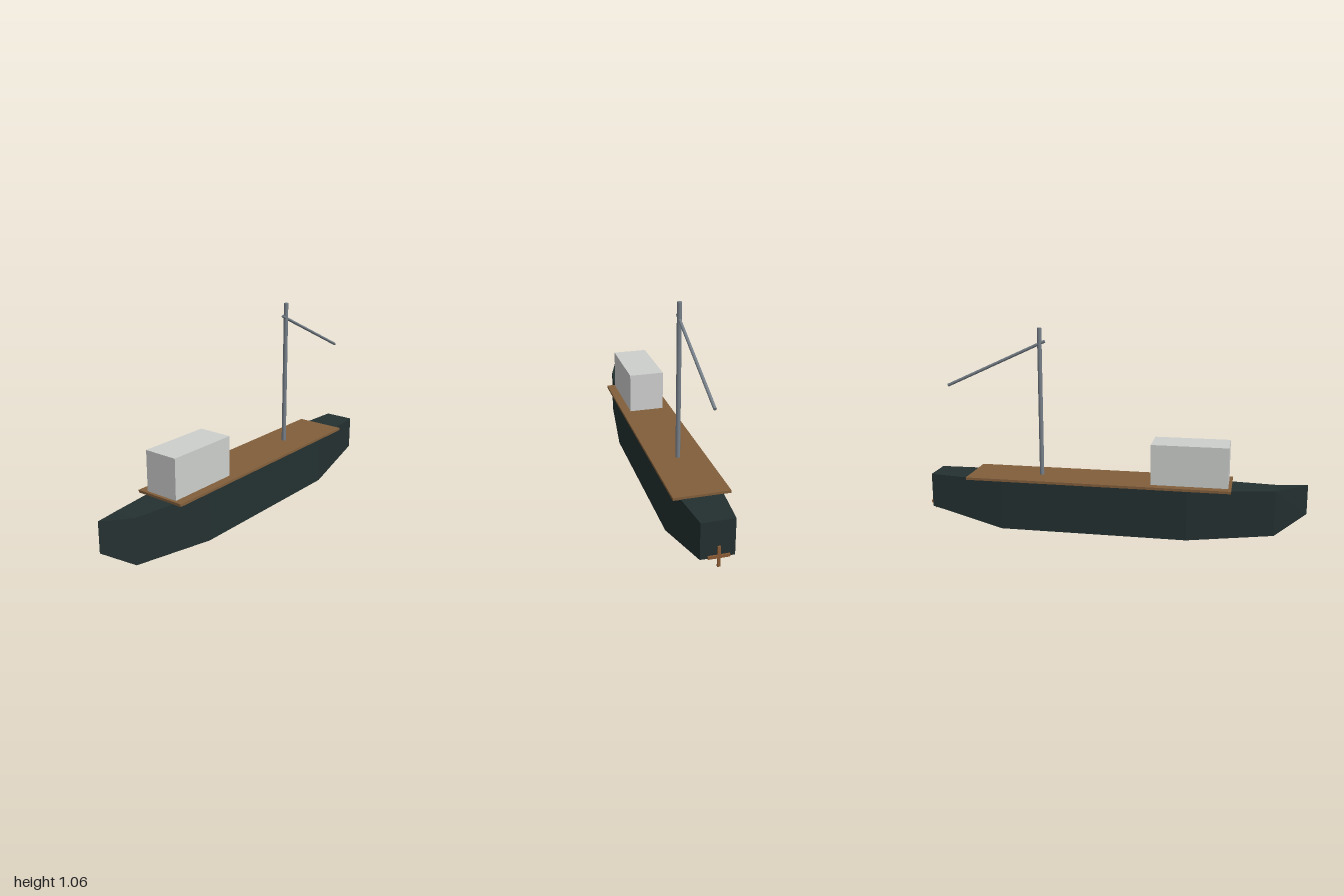
import * as THREE from 'three';

const paint = (name, color) => {
  const m = new THREE.MeshStandardMaterial({ color });
  m.name = name;
  return m;
};

// Lofts rectangular cross-sections [z, halfWidth, bottom, top], listed stern to bow
function loftHull(sections) {
  const pos = [];
  const rings = sections.map(([z, w, b, t]) => [[w, b, z], [w, t, z], [-w, t, z], [-w, b, z]]);
  const quad = (a, b, c, d) => pos.push(...a, ...b, ...c, ...a, ...c, ...d);
  for (let i = 0; i < rings.length - 1; i++) {
    const p = rings[i], q = rings[i + 1];
    for (let k = 0; k < 4; k++) {
      const n = (k + 1) % 4;
      quad(p[k], p[n], q[n], q[k]);
    }
  }
  const s = rings[0];
  quad(s[3], s[2], s[1], s[0]); // transom
  const geo = new THREE.BufferGeometry();
  geo.setAttribute('position', new THREE.Float32BufferAttribute(pos, 3));
  geo.computeVertexNormals();
  return geo;
}

// Round spar between two points
function spar(a, b, radius) {
  const dir = b.clone().sub(a);
  const geo = new THREE.CylinderGeometry(radius, radius, dir.length(), 8);
  geo.applyQuaternion(new THREE.Quaternion().setFromUnitVectors(
    new THREE.Vector3(0, 1, 0), dir.normalize()));
  const mid = a.clone().add(b).multiplyScalar(0.5);
  return geo.translate(mid.x, mid.y, mid.z);
}

export function createModel() {
  const group = new THREE.Group();
  const hullPaint = paint('dark hull', 0x243030);
  const wood = paint('brown wood', 0x825f3b);
  const cabinPaint = paint('pale grey', 0xcdcfcd);
  const metal = paint('steel grey', 0x78818a);
  const bronze = paint('propeller bronze', 0x8a5a34);

  const add = (name, geo, mat, parent = group) => {
    const mesh = new THREE.Mesh(geo, mat);
    mesh.name = name;
    parent.add(mesh);
    return mesh;
  };
  const v = (x, y, z) => new THREE.Vector3(x, y, z);

  // Hull with raised pointed bow and tapered stern
  add('hull', loftHull([
    [-0.98, 0.08, 0.09, 0.27],
    [-0.58, 0.118, 0, 0.263],
    [0.4, 0.118, 0, 0.263],
    [0.84, 0.06, 0.033, 0.268],
    [1, 0, 0.14, 0.295],
  ]), hullPaint);

  // Deck and cabin
  add('deck', new THREE.BoxGeometry(0.274, 0.013, 1.386), wood).position.set(0, 0.2715, -0.072);
  add('cabin', new THREE.BoxGeometry(0.184, 0.21, 0.394), cabinPaint).position.set(0, 0.383, 0.408);

  // Mast and sloping boom
  add('mast', spar(v(0, 0.27, -0.386), v(0, 1.058, -0.386), 0.012), metal);
  add('boom', spar(v(0, 0.99, -0.358), v(0, 0.744, -0.895), 0.008), metal);

  // Propeller with crossed blades
  const propeller = new THREE.Group();
  propeller.name = 'propeller';
  propeller.position.set(0, 0.105, -0.996);
  add('horizontalBlade', new THREE.BoxGeometry(0.1, 0.014, 0.008), bronze, propeller);
  add('verticalBlade', new THREE.BoxGeometry(0.014, 0.1, 0.008), bronze, propeller);
  group.add(propeller);

  return group;
}
